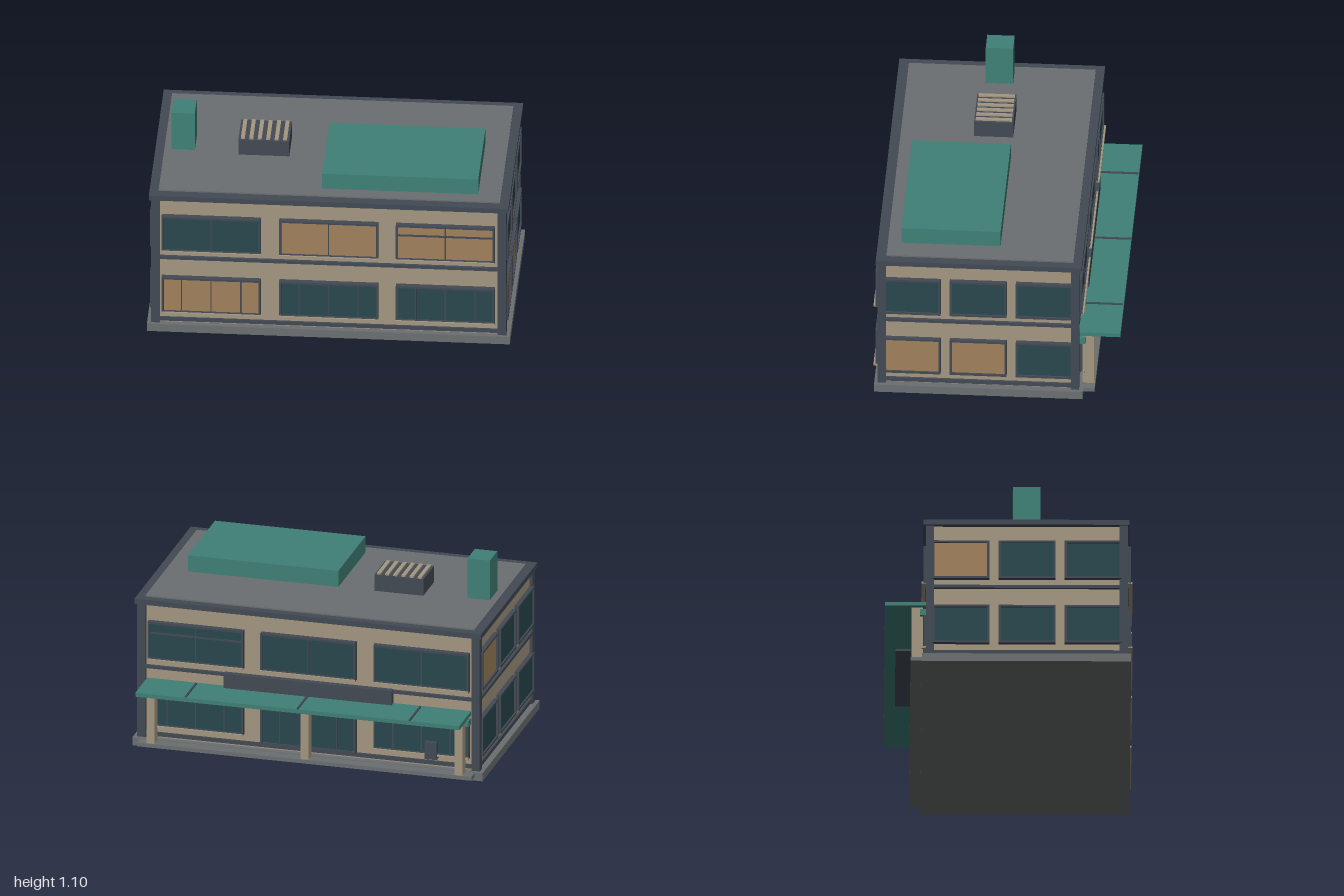
import * as THREE from 'three';

const mat = (color) => new THREE.MeshStandardMaterial({ color, flatShading: true });
const M = {
  wall: mat(0xa49780), dark: mat(0x434a54), grey: mat(0x6b6f71), teal: mat(0x3f8077),
  glass: mat(0x28474d), lit: mat(0xa0815c),
};

// Box given by its lower and upper limits on each axis
function block(parent, name, material, x0, x1, y0, y1, z0, z1) {
  const mesh = new THREE.Mesh(new THREE.BoxGeometry(x1 - x0, y1 - y0, z1 - z0), material);
  mesh.position.set((x0 + x1) / 2, (y0 + y1) / 2, (z0 + z1) / 2);
  mesh.name = name;
  parent.add(mesh);
  return mesh;
}

// Framed window facing local +z, with its back on z = 0 and its base on y = 0
function makeWindow(name, w, h, { pane = M.glass, mullions = [], transom = 0, sill = false, depth = 0.03 }) {
  const g = new THREE.Group();
  g.name = name;
  const a = w / 2, t = 0.012;
  block(g, 'pane', pane, -a + t, a - t, t, h - t, -0.005, depth - 0.01);
  for (const s of [-1, 1]) {
    const x = s * (a - t / 2);
    block(g, 'frameSide', M.dark, x - t / 2, x + t / 2, 0, h, -0.005, depth);
  }
  block(g, 'frameBottom', M.dark, -a + t, a - t, 0, t, -0.005, depth);
  block(g, 'frameTop', M.dark, -a + t, a - t, h - t, h, -0.005, depth);
  for (const x of mullions) block(g, 'mullion', M.dark, x - 0.003, x + 0.003, t, h - t, 0, depth - 0.005);
  if (transom) block(g, 'transom', M.dark, -a + t, a - t, transom - 0.005, transom + 0.005, 0, depth - 0.005);
  if (sill) block(g, 'sill', M.wall, -a, a, -0.003, 0.008, 0, depth + 0.01);
  return g;
}

export function createModel() {
  const model = new THREE.Group();
  model.name = 'building';

  // Plinth, walls and trim
  block(model, 'plinth', M.grey, -1, 1, 0, 0.047, -0.477, 0.672);
  block(model, 'walls', M.wall, -0.96, 0.96, 0.04, 0.84, -0.44, 0.64);
  block(model, 'baseBand', M.dark, -0.972, 0.972, 0.057, 0.08, -0.45, 0.65);
  block(model, 'floorBand', M.dark, -0.977, 0.977, 0.455, 0.473, -0.457, 0.657);
  for (const s of [-1, 1]) {
    for (const [z0, z1] of [[-0.455, -0.41], [0.608, 0.655]]) {
      const [x0, x1] = s > 0 ? [0.93, 0.978] : [-0.978, -0.93];
      block(model, 'cornerPost', M.dark, x0, x1, 0.047, 0.835, z0, z1);
    }
  }

  // Roof rim and deck
  block(model, 'roofRim', M.dark, -0.99, 0.99, 0.832, 0.862, -0.47, 0.663);
  block(model, 'roofDeck', M.grey, -0.94, 0.94, 0.85, 0.87, -0.422, 0.607);

  // Front and back windows
  const xs = [-0.647, 0, 0.643];
  const thirds = [-0.163, 0, 0.163];
  const frontLit = { lower: [true, false, false], upper: [false, true, true] };
  xs.forEach((x, i) => {
    const add = (label, w, h, y, back, opts) => {
      const win = makeWindow(label, w, h, opts);
      win.position.set(x, y, back ? -0.44 : 0.64);
      if (back) win.rotation.y = Math.PI;
      model.add(win);
    };
    add('frontLowerWindow', 0.545, 0.225, 0.12, false,
      { pane: frontLit.lower[i] ? M.lit : M.glass, mullions: thirds, sill: true });
    add('frontUpperWindow', 0.545, 0.225, 0.51, false,
      { pane: frontLit.upper[i] ? M.lit : M.glass, mullions: [0], transom: i === 2 ? 0.158 : 0, sill: true });
    add('backUpperWindow', 0.545, 0.225, 0.51, true,
      { mullions: [0], transom: i === 2 ? 0.158 : 0, sill: true });
    if (i === 1) add('entranceDoors', 0.545, 0.265, 0.08, true, { mullions: thirds });
    else add('backLowerWindow', 0.545, 0.225, 0.12, true, { mullions: thirds, sill: true });
  });

  // Side windows, listed from front to back
  const sideLit = { 1: [[true, true, false], [false, false, false]], '-1': [[false, false, false], [false, false, true]] };
  for (const s of [-1, 1]) {
    [0.12, 0.51].forEach((y, row) => {
      [0.463, 0.1, -0.264].forEach((z, i) => {
        const win = makeWindow(s > 0 ? 'leftSideWindow' : 'rightSideWindow', 0.313, 0.228,
          { pane: sideLit[s][row][i] ? M.lit : M.glass, depth: 0.026 });
        win.position.set(s * 0.96, y, z);
        win.rotation.y = s * Math.PI / 2;
        model.add(win);
      });
    });
  }

  // Back porch: step, pillars, canopy
  block(model, 'porchStep', M.grey, -0.955, 0.955, 0.022, 0.044, -0.54, -0.47);
  for (const x of [-0.88, 0, 0.88]) {
    block(model, 'pillar', M.wall, x - 0.022, x + 0.022, 0.04, 0.372, -0.535, -0.47);
  }
  block(model, 'canopy', M.teal, -0.925, 0.925, 0.37, 0.393, -0.68, -0.44);
  for (const x of [-0.64, 0, 0.64]) {
    block(model, 'canopySeam', M.dark, x - 0.005, x + 0.005, 0.39, 0.4, -0.676, -0.46);
  }
  block(model, 'canopyPanel', M.dark, -0.36, 0.36, 0.357, 0.371, -0.62, -0.535);
  block(model, 'fasciaBoard', M.dark, -0.48, 0.48, 0.39, 0.476, -0.478, -0.44);
  for (const s of [-1, 1]) {
    block(model, 'windowHood', M.teal, s * 0.643 - 0.28, s * 0.643 + 0.28, 0.315, 0.35, -0.488, -0.44);
  }
  block(model, 'wallBox', M.dark, -0.74, -0.67, 0.1, 0.2, -0.485, -0.44);

  // Rooftop units
  block(model, 'roofUnit', M.teal, -0.045, 0.815, 0.865, 0.965, -0.013, 0.532);
  block(model, 'chimney', M.teal, -0.9, -0.772, 0.865, 1.103, 0.022, 0.173);
  block(model, 'ventBox', M.dark, -0.53, -0.25, 0.865, 0.965, -0.013, 0.203);
  for (let i = 0; i < 6; i++) {
    const x = -0.506 + i * 0.0465;
    block(model, 'ventSlat', M.wall, x - 0.011, x + 0.011, 0.96, 0.974, -0.005, 0.195);
  }

  return model;
}
